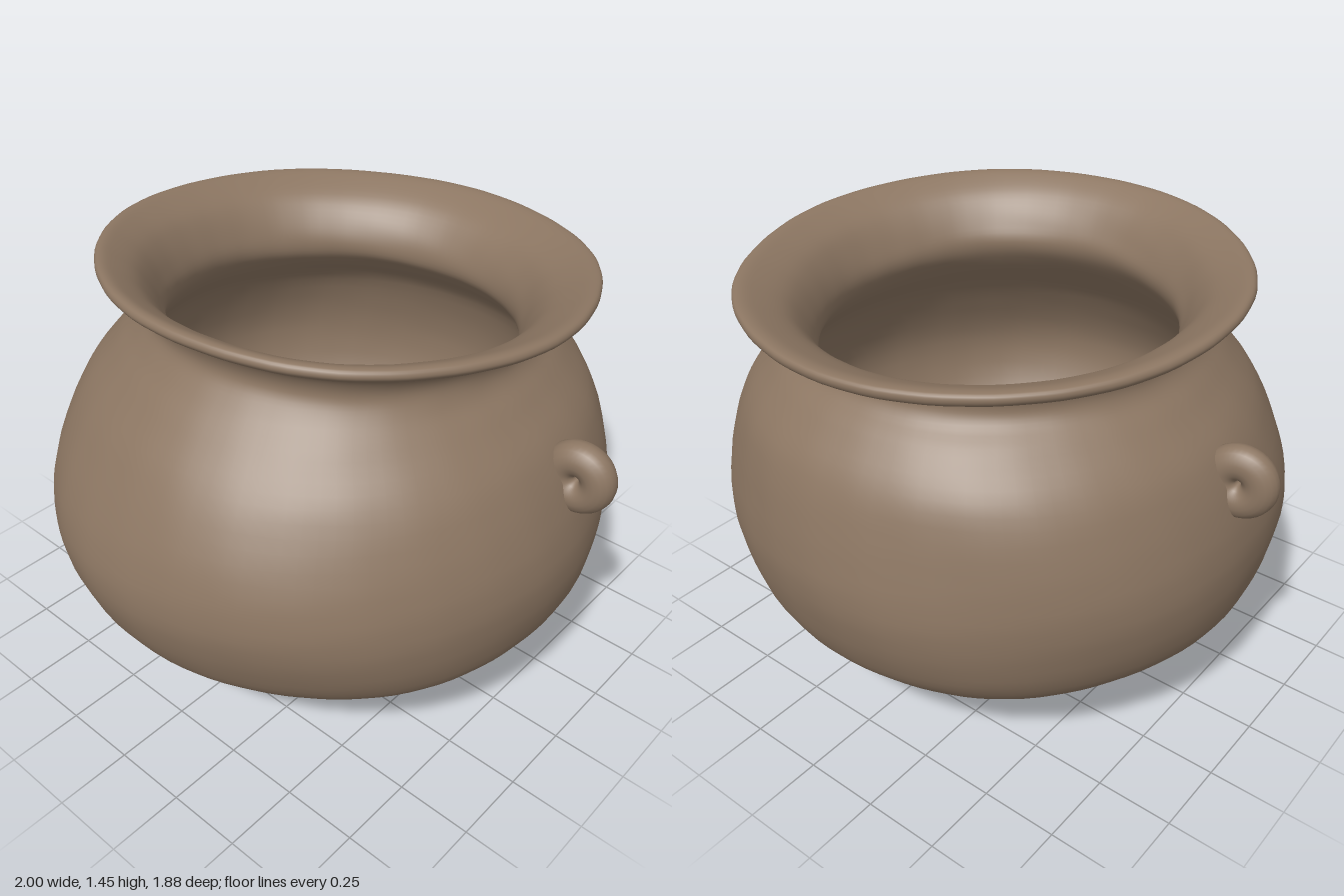
import * as THREE from 'three';
import { mergeVertices } from 'three/addons/utils/BufferGeometryUtils.js';

const clay = new THREE.MeshStandardMaterial({ color: 0x8c7662 });
clay.name = 'brown clay';

// Cross-sections: [height, half width in x, front z, back z, forward tilt]
const outside = [
  [0.0, 0, 0, 0, 0],
  [0.015, 0.16, 0.17, -0.19, 0],
  [0.08, 0.41, 0.41, -0.43, 0],
  [0.2, 0.665, 0.64, -0.66, 0],
  [0.31, 0.8, 0.79, -0.81, 0],
  [0.43, 0.885, 0.885, -0.89, 0],
  [0.62, 0.925, 0.938, -0.935, 0],
  [0.8, 0.905, 0.905, -0.92, 0],
  [1.0, 0.825, 0.8, -0.865, 0],
  [1.13, 0.715, 0.69, -0.775, 0.005],
  [1.2, 0.65, 0.615, -0.71, 0.015],
  [1.255, 0.635, 0.57, -0.69, 0.025],
];
const lip = [
  [1.305, 0.66, 0.58, -0.705, 0.035],
  [1.34, 0.725, 0.62, -0.77, 0.042],
  [1.36, 0.775, 0.67, -0.84, 0.046],
  [1.382, 0.795, 0.69, -0.86, 0.046],
  [1.402, 0.783, 0.68, -0.85, 0.046],
  [1.395, 0.74, 0.645, -0.8, 0.046],
  [1.345, 0.65, 0.575, -0.7, 0.046],
];
const inside = [
  [1.26, 0.59, 0.52, -0.635, 0.046],
  [1.18, 0.57, 0.5, -0.62, 0.046],
  [1.1, 0.61, 0.56, -0.67, 0.03],
  [0.95, 0.735, 0.72, -0.785, 0],
  [0.7, 0.825, 0.84, -0.84, 0],
  [0.45, 0.76, 0.77, -0.77, 0],
  [0.26, 0.55, 0.57, -0.55, 0],
  [0.155, 0.25, 0.25, -0.25, 0],
  [0.135, 0, 0, 0, 0],
];

// Gentle hand-made unevenness
function wobble(a, y) {
  return 0.005 * Math.sin(3 * a + 4 * y) + 0.003 * Math.sin(7 * a - 9 * y + 1)
    + 0.0015 * Math.sin(19 * a + 23 * y) * Math.sin(11 * a - 31 * y);
}

// Smooth closed skin through the cross-sections; both ends meet in a pole
function skin(sections, steps = 5, sides = 112) {
  const size = new THREE.CatmullRomCurve3(
    sections.map(([y, w, , , tilt]) => new THREE.Vector3(w, y, tilt)), false, 'catmullrom');
  const depth = new THREE.CatmullRomCurve3(
    sections.map(([, , f, b]) => new THREE.Vector3(f, b, 0)), false, 'catmullrom');
  const rows = (sections.length - 1) * steps;
  const pos = [], index = [];
  for (let r = 0; r <= rows; r++) {
    const s = size.getPoint(r / rows), d = depth.getPoint(r / rows);
    const mid = (d.x + d.y) / 2, half = (d.x - d.y) / 2;
    for (let c = 0; c < sides; c++) {
      const a = (c / sides) * Math.PI * 2;
      const k = 1 + wobble(a, s.y);
      pos.push(s.x * k * Math.cos(a), s.y + s.z * Math.sin(a), mid + half * k * Math.sin(a));
      const n = (c + 1) % sides, p = r * sides, q = p + sides;
      if (r > 0 && r < rows) index.push(p + c, q + n, p + n);
      if (r < rows - 1) index.push(p + c, q + c, q + n);
    }
  }
  const g = new THREE.BufferGeometry();
  g.setAttribute('position', new THREE.Float32BufferAttribute(pos, 3));
  g.setIndex(index);
  const merged = mergeVertices(g, 1e-5);
  merged.computeVertexNormals();
  return merged;
}

// Small, nearly closed ring lug with its inner half sunk in the wall
function lug(name, x, z, turn, thickness) {
  const g = new THREE.TorusGeometry(0.063, 0.056, 18, 40);
  g.scale(1, 1, thickness);
  const m = new THREE.Mesh(g, clay);
  m.name = name;
  m.position.set(x, 0.942, z);
  m.rotation.y = turn;
  return m;
}

export function createModel() {
  const group = new THREE.Group();
  group.name = 'pot';

  const body = new THREE.Mesh(skin([...outside, ...lip, ...inside]), clay);
  body.name = 'potBody';
  group.add(body);

  group.add(lug('leftHandle', 0.881, -0.115, 0.08, 0.95));
  group.add(lug('rightHandle', -0.881, -0.05, 0.15, 0.85));
  return group;
}
